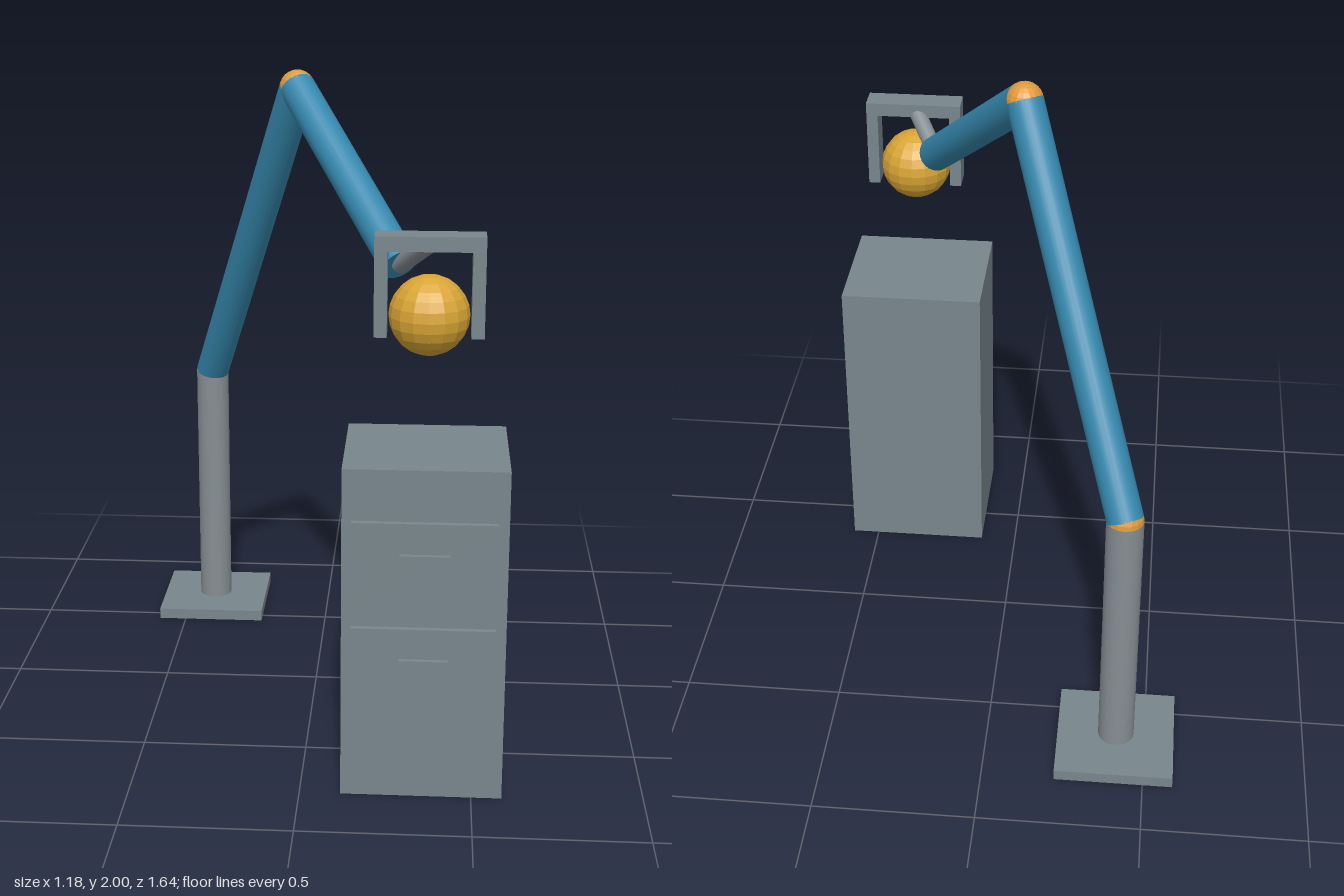
import * as THREE from 'three';

const mat = (name, color) => {
  const m = new THREE.MeshStandardMaterial({ color });
  m.name = name;
  return m;
};

export function createModel() {
  const root = new THREE.Group();
  root.name = 'robotArmWithCabinet';
  const grey = mat('cabinetGrey', 0x78868c);
  const steel = mat('steelGrey', 0x868e93);
  const blue = mat('armBlue', 0x3588ae);
  const orange = mat('jointOrange', 0xe09a3a);
  const yellow = mat('ballYellow', 0xd9a535);

  const add = (name, geo, material, parent = root) => {
    const m = new THREE.Mesh(geo, material);
    m.name = name;
    parent.add(m);
    return m;
  };
  // Box given by its extents on each axis
  const box = (name, [x0, x1], [y0, y1], [z0, z1], material, parent) => {
    const m = add(name, new THREE.BoxGeometry(x1 - x0, y1 - y0, z1 - z0), material, parent);
    m.position.set((x0 + x1) / 2, (y0 + y1) / 2, (z0 + z1) / 2);
    return m;
  };
  // Round bar between two points
  const bar = (name, a, b, r, material) => {
    const dir = b.clone().sub(a);
    const m = add(name, new THREE.CylinderGeometry(r, r, dir.length(), 24), material);
    m.position.copy(a).add(b).multiplyScalar(0.5);
    m.quaternion.setFromUnitVectors(new THREE.Vector3(0, 1, 0), dir.normalize());
    return m;
  };
  // Faceted sphere
  const ball = (name, p, r, material) => {
    const g = new THREE.SphereGeometry(r, 16, 12).toNonIndexed();
    g.computeVertexNormals();
    add(name, g, material).position.copy(p);
  };

  // Arm: base plate, column, two links and their joints
  const R = 0.056;
  const foot = new THREE.Vector3(-0.41, 0.035, -0.636);
  const shoulder = new THREE.Vector3(-0.41, 0.88, -0.636);
  const elbow = new THREE.Vector3(-0.064, 1.944, -0.089);
  const wrist = new THREE.Vector3(0.268, 1.505, 0.436);
  const grip = new THREE.Vector3(0.355, 1.6, 0.583);
  box('basePlate', [-0.592, -0.226], [0, 0.036], [-0.82, -0.454], grey);
  bar('column', foot, shoulder, R, steel);
  ball('shoulderJoint', shoulder, R, orange);
  bar('upperArm', shoulder, elbow, R, blue);
  ball('elbowJoint', elbow, R, orange);
  bar('forearm', elbow, wrist, R, blue);
  bar('wristRod', wrist, grip, 0.027, steel);

  // Gripper holding the ball
  const gripper = new THREE.Group();
  gripper.name = 'gripper';
  root.add(gripper);
  const gz = [0.541, 0.626];
  box('gripperBar', [0.2, 0.51], [1.582, 1.625], gz, grey, gripper);
  box('rightFinger', [0.2, 0.237], [1.337, 1.582], gz, grey, gripper);
  box('leftFinger', [0.473, 0.51], [1.337, 1.582], gz, grey, gripper);
  ball('heldBall', new THREE.Vector3(0.355, 1.395, 0.585), 0.115, yellow);

  // Cabinet with two drawers
  const cabinet = new THREE.Group();
  cabinet.name = 'cabinet';
  root.add(cabinet);
  box('cabinetBody', [0.12, 0.589], [0, 1], [0.353, 0.779], grey, cabinet);
  for (const y of [0.285, 0.602]) {
    box('drawerFront', [0.148, 0.558], [y, y + 0.25], [0.787, 0.806], grey, cabinet);
    box('drawerHandle', [0.284, 0.425], [y + 0.138, y + 0.16], [0.806, 0.821], grey, cabinet);
  }
  return root;
}
